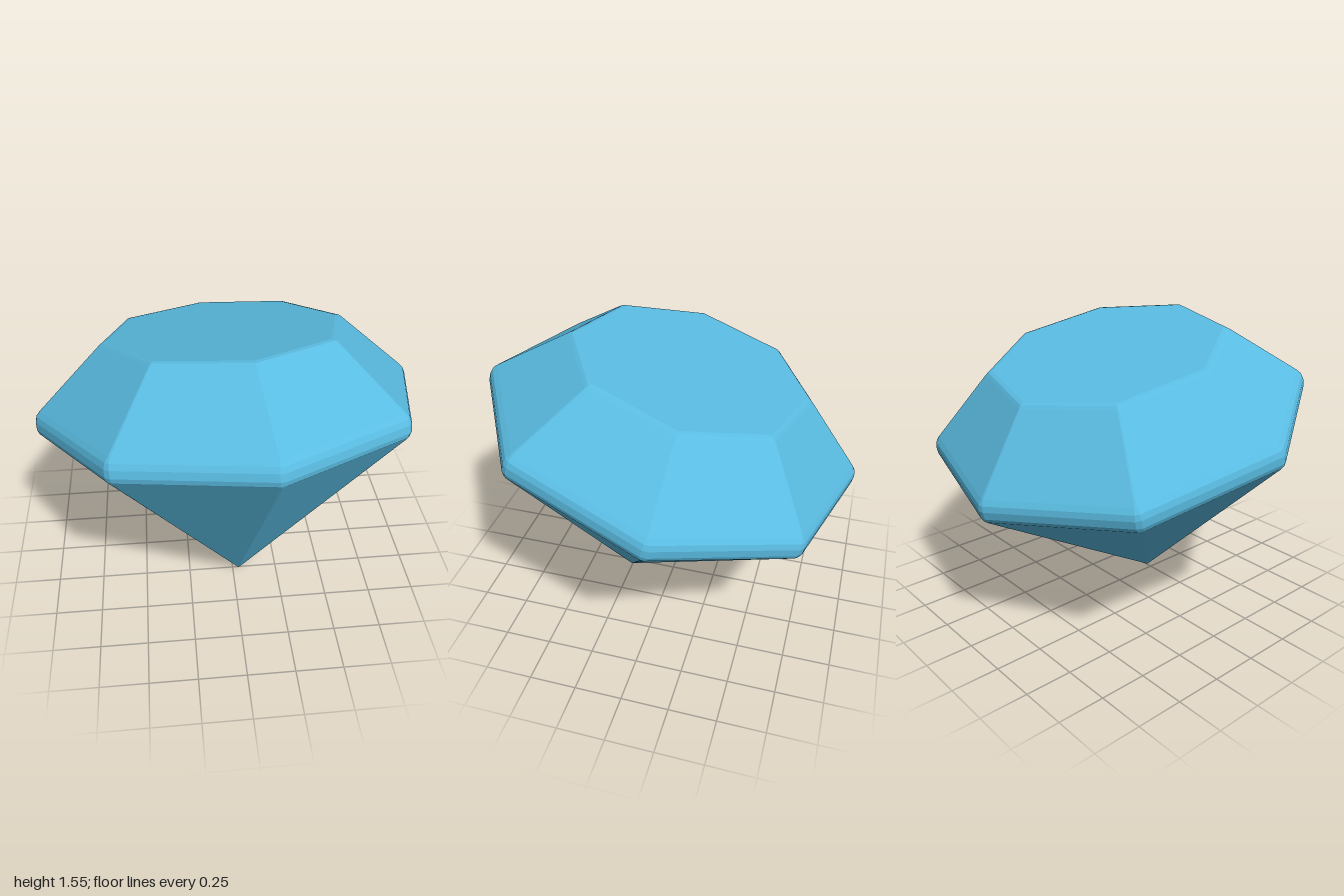
import * as THREE from 'three';

const SIDES = 8;
const SPIN = THREE.MathUtils.degToRad(8.2);

// Octagonal ring with each corner cut off by c: two points per corner
function ring([r, y, c = 0]) {
  const corner = (k) => {
    const a = SPIN + (k * Math.PI * 2) / SIDES;
    return new THREE.Vector3(r * Math.cos(a), y, -r * Math.sin(a));
  };
  const points = [];
  for (let k = 0; k < SIDES; k++) {
    for (const step of [-1, 1]) {
      const p = corner(k);
      const along = corner(k + step).sub(p).normalize();
      points.push(p.addScaledVector(along, c));
    }
  }
  return points;
}

// Faceted skin through rings given from bottom to top as [radius, height, corner cut]
function facets(name, rows, material) {
  const rings = rows.map(ring);
  const pos = [];
  const tri = (a, b, c) => {
    const area = b.clone().sub(a).cross(c.clone().sub(a)).length();
    if (area > 1e-8) for (const p of [a, b, c]) pos.push(p.x, p.y, p.z);
  };
  for (let i = 0; i < rings.length - 1; i++) {
    const n = SIDES * 2;
    for (let j = 0; j < n; j++) {
      const a = rings[i][j], b = rings[i][(j + 1) % n];
      const c = rings[i + 1][(j + 1) % n], d = rings[i + 1][j];
      tri(a, b, c);
      tri(a, c, d);
    }
  }
  const geometry = new THREE.BufferGeometry();
  geometry.setAttribute('position', new THREE.Float32BufferAttribute(pos, 3));
  geometry.computeVertexNormals(); // unshared corners give flat facets
  const mesh = new THREE.Mesh(geometry, material);
  mesh.name = name;
  return mesh;
}

export function createModel() {
  const gemBlue = new THREE.MeshStandardMaterial({ color: 0x5abce2 });
  gemBlue.name = 'gem blue';

  const gem = new THREE.Group();
  gem.name = 'gem';

  // Long point below the belt
  gem.add(facets('pavilion', [[0, 0], [0.985, 0.995, 0.006]], gemBlue));

  // Rounded belt with softened corners
  gem.add(facets('girdle', [
    [0.985, 0.995, 0.006],
    [1.0, 1.01, 0.013],
    [1.01, 1.035, 0.016],
    [1.01, 1.075, 0.016],
    [1.0, 1.104, 0.013],
    [0.978, 1.128, 0.006],
  ], gemBlue));

  // Sloping facets above the belt
  gem.add(facets('crown', [[0.978, 1.128, 0.006], [0.642, 1.43, 0.003]], gemBlue));

  // Flat top with a narrow bevelled rim
  gem.add(facets('table', [
    [0.642, 1.43, 0.003],
    [0.626, 1.442, 0.003],
    [0.604, 1.447],
    [0, 1.447],
  ], gemBlue));

  // The gem leans back on its point
  const axis = new THREE.Vector3(-0.035, 1, -0.25).normalize();
  gem.quaternion.setFromUnitVectors(new THREE.Vector3(0, 1, 0), axis);
  gem.position.set(0.035, 0, 0.255);

  const model = new THREE.Group();
  model.name = 'leaningGem';
  model.add(gem);
  return model;
}
